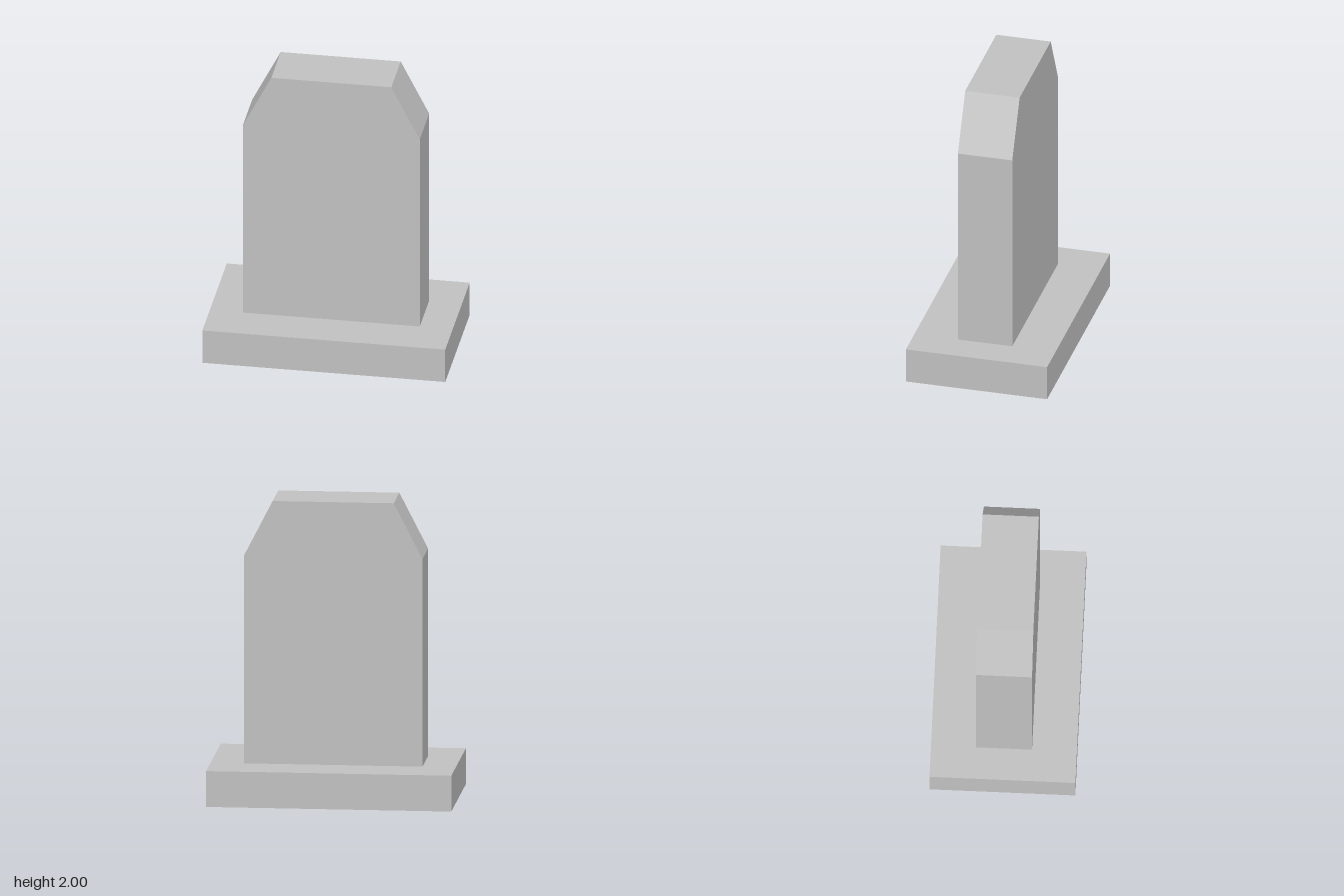
import * as THREE from 'three';

export function createModel() {
  const model = new THREE.Group();
  model.name = 'headstone';
  const stone = new THREE.MeshStandardMaterial({ color: 0xc0c0c0 });
  stone.name = 'grey stone';

  const baseHeight = 0.24;

  // Rectangular plinth
  const base = new THREE.Mesh(new THREE.BoxGeometry(1.62, baseHeight, 0.96), stone);
  base.name = 'base';
  base.position.y = baseHeight / 2;
  model.add(base);

  // Upright slab with chamfered top corners
  const halfWidth = 0.59, halfTop = 0.4, shoulder = 1.63, top = 2, depth = 0.37;
  const outline = new THREE.Shape([
    [-halfWidth, baseHeight], [halfWidth, baseHeight], [halfWidth, shoulder],
    [halfTop, top], [-halfTop, top], [-halfWidth, shoulder],
  ].map(([x, y]) => new THREE.Vector2(x, y)));
  const slabGeometry = new THREE.ExtrudeGeometry(outline, { depth, bevelEnabled: false });
  slabGeometry.translate(0, 0, -depth / 2);
  const slab = new THREE.Mesh(slabGeometry, stone);
  slab.name = 'slab';
  model.add(slab);

  return model;
}
